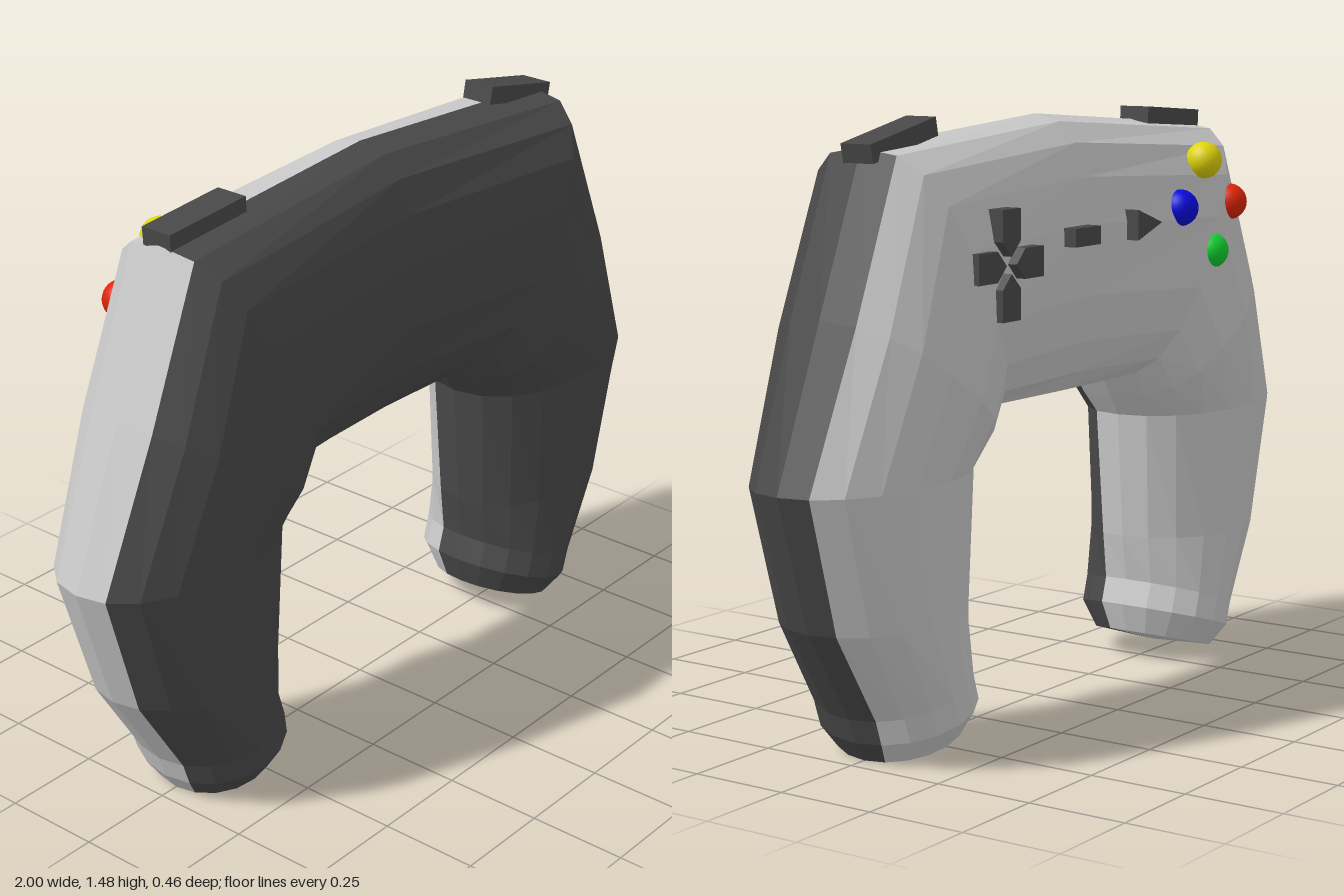
import * as THREE from 'three';

const mat = (name, color) => Object.assign(new THREE.MeshStandardMaterial({ color }), { name });

export function createModel() {
  const model = new THREE.Group();
  model.name = 'gamepad';
  const dark = mat('charcoal', 0x484848);
  const light = mat('light grey', 0xc8c8c8);
  const add = (name, geo, material, x = 0, y = 0, z = 0) => {
    const mesh = new THREE.Mesh(geo, material);
    mesh.name = name;
    mesh.position.set(x, y, z);
    model.add(mesh);
    return mesh;
  };

  // Cross-sections of one half: outer x, y, inner x, y, half depth, squareness
  const half = [
    [0.70, 0.01, 0.43, 0.09, 0.16, 2],
    [0.735, 0.06, 0.41, 0.165, 0.205, 2],
    [0.755, 0.12, 0.43, 0.23, 0.205, 2],
    [0.90, 0.35, 0.41, 0.35, 0.205, 2],
    [1.00, 0.68, 0.385, 0.68, 0.205, 2.2],
    [0.845, 1.055, 0.35, 0.73, 0.23, 2.4],
    [0.69, 1.43, 0.31, 0.79, 0.21, 2.7],
    [0, 1.48, 0, 0.78, 0.175, 2.5],
  ];
  const mirrored = half.slice(0, -1).reverse().map(([a, b, c, d, h, n]) => [-a, b, -c, d, h, n]);
  const sections = [...half, ...mirrored];
  const N = 18;
  const pow = (v, n) => Math.sign(v) * Math.abs(v) ** (2 / n);
  const rings = sections.map(([ox, oy, ix, iy, h, n]) =>
    Array.from({ length: N }, (_, k) => {
      const a = (k / N) * Math.PI * 2;
      const t = 0.5 - 0.5 * pow(Math.cos(a), n);
      return [ox + (ix - ox) * t, oy + (iy - oy) * t, h * pow(Math.sin(a), n)];
    }));

  // The seam shifts by one facet on each grip
  const corner = half.length - 2;
  const lastCorner = half.length;
  const isLight = (i, k) => {
    if (i < corner) return k >= 10 && k <= 16;
    if (i >= lastCorner) return k >= 8 || k === 0;
    return k >= 9;
  };
  const shells = { front: [], back: [] };
  const last = rings.length - 1;
  for (let k = 0; k < N; k++) {
    const m = (k + 1) % N;
    for (let i = 0; i < last; i++) {
      const a = rings[i][k], b = rings[i + 1][k], c = rings[i + 1][m], d = rings[i][m];
      shells[isLight(i, k) ? 'back' : 'front'].push(...a, ...b, ...c, ...a, ...c, ...d);
    }
    // Grip end caps
    shells[isLight(0, k) ? 'back' : 'front'].push(0.565, 0.04, 0, ...rings[0][k], ...rings[0][m]);
    shells[isLight(last, k) ? 'back' : 'front'].push(-0.565, 0.04, 0, ...rings[last][m], ...rings[last][k]);
  }
  for (const [side, pts] of Object.entries(shells)) {
    const geo = new THREE.BufferGeometry();
    geo.setAttribute('position', new THREE.Float32BufferAttribute(pts, 3));
    geo.computeVertexNormals();
    add(side + 'Shell', geo, side === 'back' ? light : dark);
  }

  // Round action buttons
  [
    ['yellow', 0xe0d408, -0.5, 1.345, -0.185],
    ['red', 0xdc2408, -0.63, 1.23, -0.185],
    ['blue', 0x0808dc, -0.385, 1.23, -0.185],
    ['green', 0x10d030, -0.53, 1.11, -0.19],
  ].forEach(([name, color, x, y, z]) =>
    add(name + 'Button', new THREE.SphereGeometry(0.047, 24, 16), mat(name, color), x, y, z));

  // Flat prisms: direction pad, menu key and pointer key
  const prism = (points, depth) => new THREE.ExtrudeGeometry(
    new THREE.Shape(points.map(([x, y]) => new THREE.Vector2(x, y))), { depth, bevelEnabled: false });
  const arm = prism([[0.02, 0], [0.055, -0.036], [0.13, -0.036], [0.13, 0.036], [0.055, 0.036]], 0.07);
  for (let i = 0; i < 4; i++) {
    add('directionPadArm', arm, dark, 0.42, 1.155, -0.225).rotation.z = (i * Math.PI) / 2;
  }
  add('menuKey', new THREE.BoxGeometry(0.11, 0.045, 0.08), dark, 0.085, 1.195, -0.175);
  add('pointerKey', prism([[-0.06, 0], [0.05, -0.038], [0.05, 0.038]], 0.07), dark, -0.19, 1.205, -0.215);

  // Shoulder buttons
  const shoulder = new THREE.BoxGeometry(0.25, 0.045, 0.085);
  add('rightShoulderButton', shoulder, dark, -0.565, 1.45, -0.01).rotation.z = 0.07;
  add('leftShoulderButton', shoulder, dark, 0.595, 1.445, -0.01).rotation.z = -0.21;

  return model;
}
